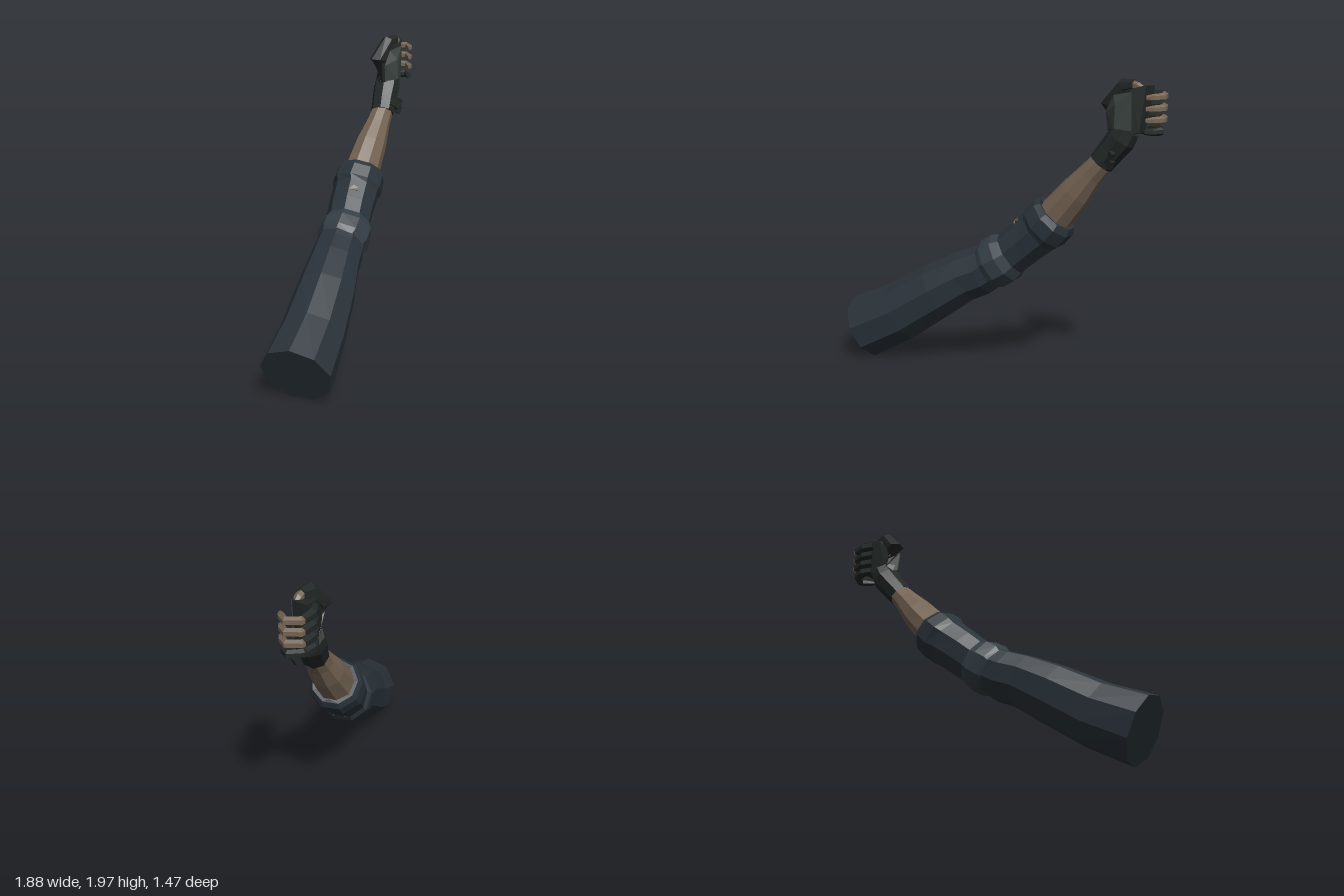
import * as THREE from 'three';
import { ConvexGeometry } from 'three/addons/geometries/ConvexGeometry.js';

const mat = (color, side = THREE.FrontSide) =>
  new THREE.MeshStandardMaterial({ color, flatShading: true, side });
const CLOTH = mat(0x2b343b), BAND = mat(0x353f46), SKIN = mat(0x756453);
const GLOVE = mat(0x222827), PANEL = mat(0x3a423e);
const FOLD = mat(0x20272c, THREE.DoubleSide), TEAR = mat(0x756453, THREE.DoubleSide);
const V = (p) => new THREE.Vector3(p[0], p[1], p[2]);

function add(group, name, geometry, material) {
  const mesh = new THREE.Mesh(geometry, material);
  mesh.name = name;
  group.add(mesh);
  return mesh;
}

// Closed tube through rings [x, y, z, radius], each square to the path
function loft(rings, sides) {
  const pos = [], idx = [], n = rings.length;
  rings.forEach((r, i) => {
    const t = V(rings[Math.min(i + 1, n - 1)]).sub(V(rings[Math.max(i - 1, 0)])).normalize();
    const up = new THREE.Vector3(0, 1, 0);
    const u = up.addScaledVector(t, -t.y).normalize();
    const v = t.clone().cross(u);
    for (let j = 0; j < sides; j++) {
      const a = (j / sides) * Math.PI * 2;
      const p = V(r).addScaledVector(u, Math.cos(a) * r[3]).addScaledVector(v, Math.sin(a) * r[3]);
      pos.push(p.x, p.y, p.z);
    }
  });
  const first = pos.length / 3, last = first + 1, end = (n - 1) * sides;
  pos.push(...rings[0].slice(0, 3), ...rings[n - 1].slice(0, 3));
  for (let j = 0; j < sides; j++) {
    const k = (j + 1) % sides;
    for (let i = 0; i < n - 1; i++) {
      const a = i * sides + j, b = i * sides + k;
      idx.push(a, b, a + sides, b, b + sides, a + sides);
    }
    idx.push(first, k, j, last, end + j, end + k);
  }
  const g = new THREE.BufferGeometry();
  g.setAttribute('position', new THREE.Float32BufferAttribute(pos, 3));
  g.setIndex(idx);
  g.computeVertexNormals();
  return g;
}

// Thin cloth patch from a fan of corners
function patch(points) {
  const g = new THREE.BufferGeometry();
  g.setAttribute('position', new THREE.Float32BufferAttribute(points.flat(), 3));
  const idx = [];
  for (let i = 1; i < points.length - 1; i++) idx.push(0, i, i + 1);
  g.setIndex(idx);
  g.computeVertexNormals();
  return g;
}

export function createModel() {
  const arm = new THREE.Group();
  arm.name = 'arm';

  // Sleeve: upper arm, elbow band, then rolled part below the elbow
  add(arm, 'upperSleeve', loft([
    [-0.785, 0.206, 0.55, 0.226], [-0.555, 0.35, 0.375, 0.21], [-0.345, 0.525, 0.2, 0.193],
    [-0.2, 0.64, 0.07, 0.172], [-0.11, 0.69, -0.01, 0.168], [-0.04, 0.745, -0.065, 0.155],
  ], 9), CLOTH);
  add(arm, 'elbowBand', loft([
    [-0.07, 0.72, -0.04, 0.155], [-0.04, 0.745, -0.06, 0.175],
    [0.015, 0.79, -0.105, 0.175], [0.055, 0.825, -0.14, 0.15],
  ], 9), BAND);
  add(arm, 'lowerSleeve', loft([
    [0.03, 0.8, -0.12, 0.15], [0.115, 0.9, -0.195, 0.155], [0.2, 0.99, -0.262, 0.16],
    [0.225, 1.02, -0.28, 0.175], [0.28, 1.085, -0.315, 0.168], [0.3, 1.115, -0.33, 0.145],
    [0.295, 1.105, -0.325, 0.115],
  ], 9), CLOTH);

  // Loose folds and a tear in the cloth
  add(arm, 'sleeveSeam', patch([
    [-0.62, 0.22, 0.69], [-0.45, 0.335, 0.54], [-0.28, 0.465, 0.36], [-0.46, 0.34, 0.5],
  ]), FOLD);
  add(arm, 'elbowFold', patch([
    [-0.2, 0.61, 0.25], [-0.1, 0.62, 0.18], [-0.04, 0.69, 0.115],
    [-0.04, 0.735, 0.1], [-0.11, 0.69, 0.18],
  ]), FOLD);
  add(arm, 'sleeveTear', patch([
    [0.07, 1.055, -0.155], [0.11, 1.045, -0.115], [0.19, 1.005, -0.095],
    [0.145, 1.05, -0.125], [0.11, 1.075, -0.155],
  ]), TEAR);

  // Bare forearm
  add(arm, 'forearm', loft([
    [0.25, 1.05, -0.3, 0.118], [0.3, 1.115, -0.33, 0.122], [0.42, 1.27, -0.395, 0.108],
    [0.51, 1.39, -0.44, 0.084], [0.58, 1.48, -0.48, 0.074],
  ], 9), SKIN);

  // Glove cuff with strap and buckle
  add(arm, 'gloveCuff', loft([
    [0.57, 1.465, -0.47, 0.082], [0.615, 1.54, -0.51, 0.086],
    [0.665, 1.62, -0.55, 0.094], [0.69, 1.68, -0.57, 0.085],
  ], 8), GLOVE);
  const strap = add(arm, 'wristStrap', new THREE.BoxGeometry(0.09, 0.05, 0.03), GLOVE);
  strap.position.set(0.64, 1.525, -0.435);
  strap.rotation.set(-0.3, 0.3, -0.5);
  [[0.695, 1.475, -0.45], [0.7, 1.525, -0.45]].forEach((p, i) => {
    const tab = add(arm, 'buckleTab' + (i + 1), new THREE.BoxGeometry(0.035, 0.055, 0.03), GLOVE);
    tab.position.set(...p);
    tab.rotation.z = -0.5;
  });

  // Hand body and the lighter pad on its front
  add(arm, 'hand', new ConvexGeometry([
    [0.595, 1.67, -0.5], [0.58, 1.8, -0.49], [0.64, 1.9, -0.5], [0.77, 1.93, -0.53],
    [0.83, 1.955, -0.6], [0.8, 1.67, -0.58], [0.72, 1.64, -0.49], [0.61, 1.66, -0.58],
    [0.59, 1.82, -0.56], [0.67, 1.92, -0.62], [0.8, 1.95, -0.69], [0.76, 1.665, -0.67],
  ].map(V)), GLOVE);
  add(arm, 'palmPad', new ConvexGeometry([
    [0.605, 1.68, -0.49], [0.595, 1.79, -0.48], [0.65, 1.89, -0.495], [0.78, 1.915, -0.53],
    [0.78, 1.68, -0.54], [0.7, 1.69, -0.465], [0.7, 1.83, -0.47], [0.69, 1.78, -0.56],
  ].map(V)), PANEL);

  // Four curled fingers, gloved to the middle joint; the lowest fully gloved
  ['index', 'middle', 'ring', 'little'].forEach((name, i) => {
    const y = 1.892 - i * 0.068, s = i === 3 ? 0.02 : 0;
    add(arm, name + 'FingerGlove', loft([
      [0.72, y, -0.64, 0.034], [0.77, y, -0.69, 0.034], [0.855 - s, y, -0.712 + s / 2, 0.029],
    ], 6), GLOVE);
    add(arm, name + 'Finger', loft([
      [0.83 - s, y, -0.71 + s / 2, 0.024], [0.862 - s, y, -0.715 + s / 2, 0.027],
      [0.922 - s / 2, y - 0.003, -0.655, 0.025],
      [0.902 - s / 2, y - 0.006, -0.6, 0.023], [0.88 - s / 2, y - 0.008, -0.563, 0.014],
    ], 6), i === 3 ? GLOVE : SKIN);
  });

  // Thumb bent over the top of the fist
  add(arm, 'thumbGlove', loft([
    [0.64, 1.68, -0.55, 0.06], [0.572, 1.83, -0.53, 0.06],
    [0.68, 1.945, -0.555, 0.05], [0.75, 1.955, -0.575, 0.034],
  ], 6), GLOVE);
  add(arm, 'thumbTip', loft([
    [0.73, 1.955, -0.57, 0.028], [0.775, 1.945, -0.585, 0.026], [0.81, 1.93, -0.6, 0.014],
  ], 6), SKIN);

  return arm;
}
